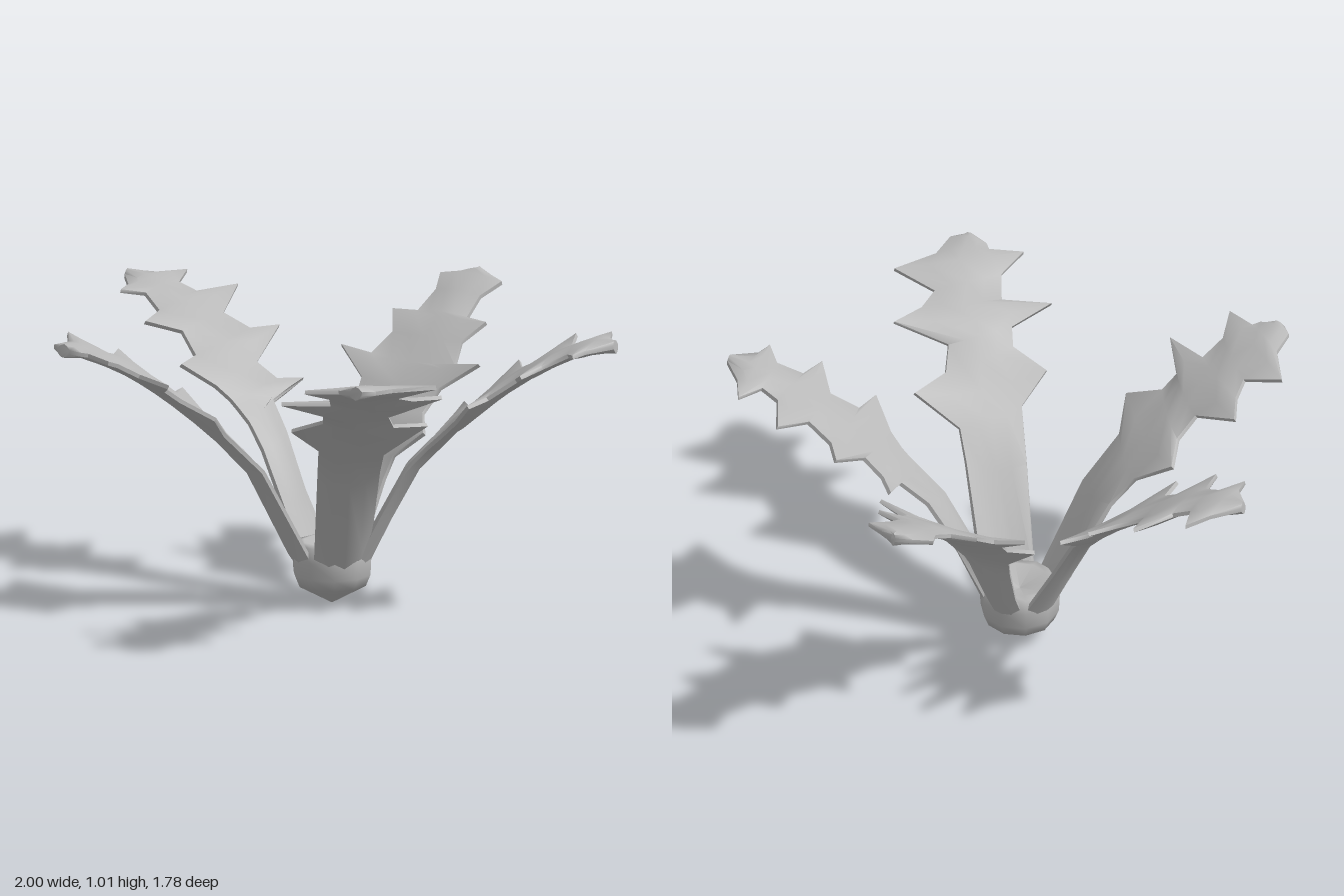
import * as THREE from 'three';
import { toCreasedNormals } from 'three/addons/utils/BufferGeometryUtils.js';

const CENTER_Z = 0.07;

// Arching rise of the leaves: height as a function of distance from the stem centre
const rise = new THREE.CubicInterpolant(
  [0.07, 0.135, 0.2, 0.3, 0.4, 0.53, 0.66, 0.75, 0.9, 1.04],
  [0.1, 0.2, 0.34, 0.52, 0.62, 0.735, 0.835, 0.89, 0.965, 0.99], 1);
const heightAt = (r) => rise.evaluate(THREE.MathUtils.clamp(r, 0.07, 1.04))[0];

// Leaf outlines in plan: rows of [xA, zA, xB, zB] from stem to tip
const FRONT = [
  [0.12, 0.05, 0.005, 0.18], [0.19, 0.11, 0.012, 0.2], [0.28, 0.21, 0.11, 0.34],
  [0.34, 0.28, 0.19, 0.46], [0.5, 0.25, 0.155, 0.58], [0.45, 0.39, 0.29, 0.59],
  [0.48, 0.47, 0.32, 0.64], [0.66, 0.41, 0.23, 0.765], [0.61, 0.52, 0.39, 0.7],
  [0.6, 0.6, 0.43, 0.775], [0.75, 0.59, 0.4, 0.885], [0.66, 0.73, 0.51, 0.84],
  [0.655, 0.83, 0.53, 0.86], [0.62, 0.865, 0.57, 0.865],
];
const SIDE = [
  [0.08, -0.03, 0.12, 0.1], [0.18, -0.04, 0.19, 0.085], [0.28, -0.08, 0.29, 0.06],
  [0.37, -0.13, 0.36, 0.035], [0.33, -0.27, 0.41, 0.03], [0.395, -0.2, 0.44, 0.03],
  [0.47, -0.19, 0.49, 0.045], [0.49, -0.37, 0.585, 0.12], [0.555, -0.28, 0.595, 0.01],
  [0.65, -0.26, 0.68, -0.04], [0.69, -0.42, 0.765, 0.065], [0.765, -0.27, 0.78, -0.05],
  [0.83, -0.26, 0.86, -0.09], [0.865, -0.37, 0.92, -0.025], [0.915, -0.28, 0.93, -0.09],
  [0.995, -0.2, 0.995, -0.17],
];
// The back leaf is symmetric, so half an outline is enough
const BACK = [
  [0.055, -0.02], [0.06, -0.08], [0.075, -0.15], [0.09, -0.19], [0.2, -0.21],
  [0.14, -0.3], [0.16, -0.38], [0.28, -0.44], [0.17, -0.46], [0.14, -0.55],
  [0.19, -0.63], [0.1, -0.65], [0.09, -0.75], [0.125, -0.835], [0.06, -0.87], [0.008, -0.893],
].map(([x, z]) => [-x, z, x, z]);

const mirrorRows = (rows) => rows.map(([xa, za, xb, zb]) => [-xb, zb, -xa, za]);

// Skin a leaf: each row becomes a closed lens-shaped ring around the arched surface
function leafGeometry(rows) {
  const across = [0, 0.25, 0.5, 0.75, 1];
  const ringSize = across.length * 2;
  const positions = [];
  const index = [];

  const addPoint = ([xa, za, xb, zb], t, side) => {
    const x = xa + (xb - xa) * t;
    const z = za + (zb - za) * t;
    const dz = z - CENTER_Z;
    const r = Math.hypot(x, dz);
    const slope = (heightAt(r + 0.02) - heightAt(r - 0.02)) / 0.04;
    const normal = new THREE.Vector3(-slope * x / r, 1, -slope * dz / r).normalize();
    const half = side * (0.007 + 0.017 * Math.sin(Math.PI * t));
    positions.push(x + normal.x * half, heightAt(r) + normal.y * half, z + normal.z * half);
  };

  rows.forEach((row) => {
    across.forEach((t) => addPoint(row, t, 1));
    [...across].reverse().forEach((t) => addPoint(row, t, -1));
  });

  for (let i = 0; i < rows.length - 1; i++) {
    for (let j = 0; j < ringSize; j++) {
      const a = i * ringSize + j;
      const b = i * ringSize + (j + 1) % ringSize;
      index.push(a, b, a + ringSize, b, b + ringSize, a + ringSize);
    }
  }
  // End caps
  const last = (rows.length - 1) * ringSize;
  for (let k = 1; k < ringSize - 1; k++) {
    index.push(0, k + 1, k, last, last + k, last + k + 1);
  }

  const geometry = new THREE.BufferGeometry();
  geometry.setAttribute('position', new THREE.Float32BufferAttribute(positions, 3));
  geometry.setIndex(index);
  return toCreasedNormals(geometry, 1.0);
}

export function createModel() {
  const model = new THREE.Group();
  model.name = 'leafRosette';
  const leafGrey = new THREE.MeshStandardMaterial({ color: 0xb8b8b8 });
  leafGrey.name = 'leafGrey';

  const add = (name, geometry) => {
    const mesh = new THREE.Mesh(geometry, leafGrey);
    mesh.name = name;
    model.add(mesh);
    return mesh;
  };

  // Rounded stem base with a shallow cup on top
  const profile = [[0, 0.005], [0.12, 0.07], [0.137, 0.11], [0.14, 0.17], [0.13, 0.22], [0.1, 0.225], [0, 0.19]]
    .map(([r, y]) => new THREE.Vector2(r, y));
  add('stemBase', new THREE.LatheGeometry(profile, 10)).position.z = CENTER_Z;

  // Five toothed leaves
  add('frontLeftLeaf', leafGeometry(FRONT));
  add('frontRightLeaf', leafGeometry(mirrorRows(FRONT)));
  add('leftLeaf', leafGeometry(SIDE));
  add('rightLeaf', leafGeometry(mirrorRows(SIDE)));
  add('backLeaf', leafGeometry(BACK));

  return model;
}
